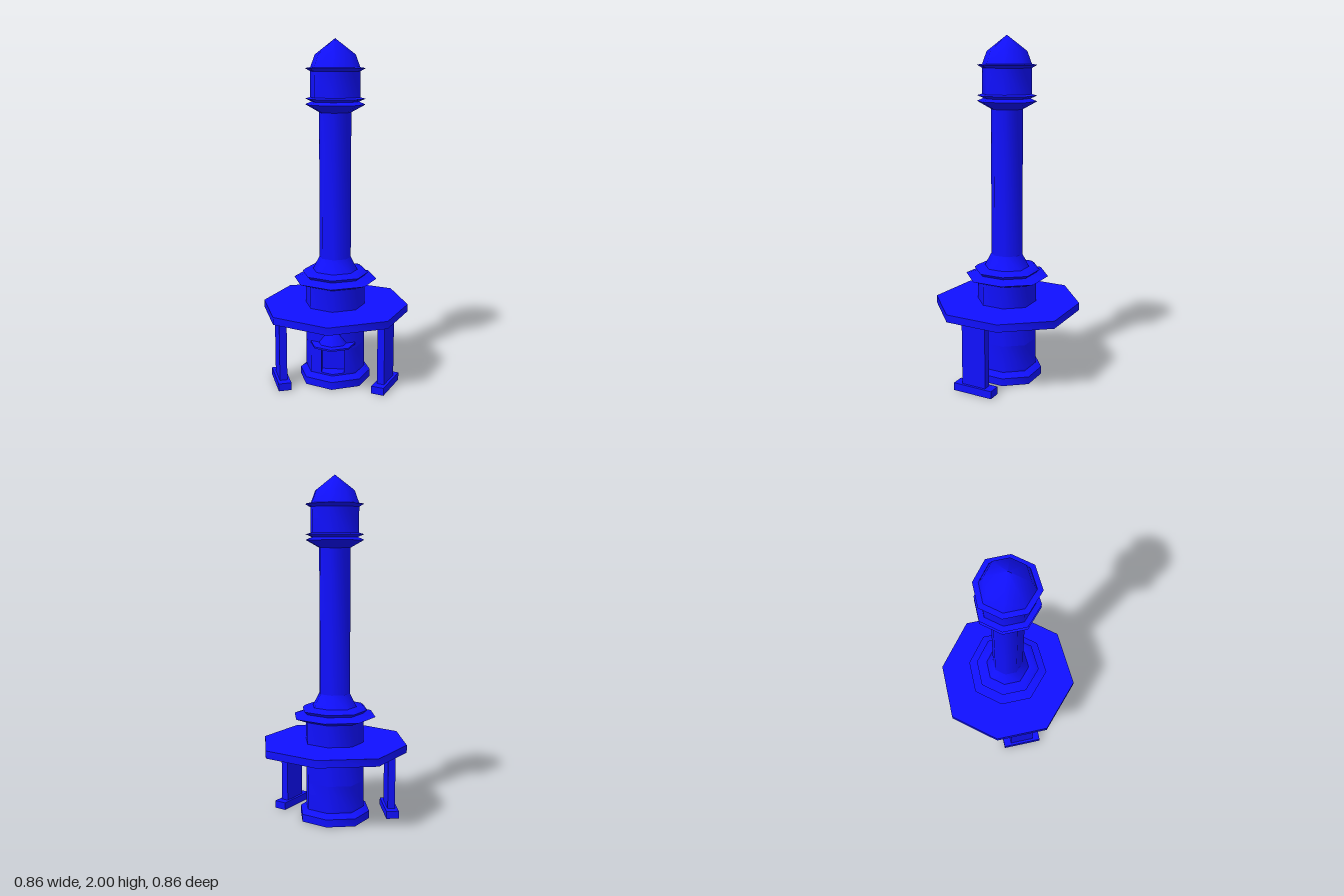
import * as THREE from 'three';
import { toCreasedNormals } from 'three/addons/utils/BufferGeometryUtils.js';

const material = new THREE.MeshStandardMaterial({ color: 0x1010ff, side: THREE.DoubleSide });

function add(group, name, geometry, x = 0, y = 0, z = 0, turn = 0) {
  const mesh = new THREE.Mesh(geometry, material);
  mesh.name = name;
  mesh.position.set(x, y, z);
  mesh.rotation.y = turn;
  group.add(mesh);
  return mesh;
}

// Slightly uneven octagon: wide diagonals, side corners set back a little
function octagonCorner(x, z) {
  const r = Math.hypot(x, z);
  if (Math.abs(x) < 1e-4) return [x, z];
  const diagonal = Math.abs(z) > 0.1 * r;
  return [diagonal ? x * 1.06 : x, z - 0.03 * r];
}

// Eight-sided turned body from [radius, height] pairs, creased at profile edges
function turned(profile) {
  const geo = new THREE.LatheGeometry(profile.map(([r, y]) => new THREE.Vector2(r, y)), 8);
  const p = geo.attributes.position;
  for (let i = 0; i < p.count; i++) {
    const [x, z] = octagonCorner(p.getX(i), p.getZ(i));
    p.setXYZ(i, x, p.getY(i), z);
  }
  return toCreasedNormals(geo, 0.9);
}

// Wall band with a square fireplace recess cut into the front corner
function recessedBand(r, height, halfWidth, backZ) {
  const shape = new THREE.Shape();
  const corners = [];
  for (let i = 1; i < 8; i++) {
    const a = (i * Math.PI) / 4;
    corners.push(octagonCorner(r * Math.sin(a), r * Math.cos(a)));
  }
  const [dx, dz] = corners[0];
  const edgeZ = r + (dz - r) * (halfWidth / dx);
  const points = [[halfWidth, backZ], [halfWidth, edgeZ], ...corners, [-halfWidth, edgeZ], [-halfWidth, backZ]];
  points.forEach(([x, z], i) => (i ? shape.lineTo(x, -z) : shape.moveTo(x, -z)));
  shape.closePath();
  const geo = new THREE.ExtrudeGeometry(shape, { depth: height, bevelEnabled: false });
  geo.rotateX(-Math.PI / 2);
  return toCreasedNormals(geo, 0.9);
}

export function createModel() {
  const model = new THREE.Group();
  model.name = 'tower';

  // Foot and lower wall around the fireplace
  add(model, 'foot', turned([[0, 0], [0.21, 0], [0.21, 0.045], [0.175, 0.07], [0.175, 0.08], [0, 0.08]]));
  add(model, 'fireplaceWall', recessedBand(0.175, 0.15, 0.066, 0.09), 0, 0.08, 0);

  // Upper wall with two cornices and the sloping shoulder
  add(model, 'wall', turned([
    [0, 0.23], [0.175, 0.23], [0.175, 0.59], [0.245, 0.617], [0.175, 0.637],
    [0.195, 0.655], [0.175, 0.67], [0.132, 0.672], [0.092, 0.748], [0, 0.748],
  ]));

  // Flat roof slab
  add(model, 'roof', turned([[0, 0.418], [0.431, 0.418], [0.431, 0.462], [0, 0.462]]));

  // Tall shaft
  add(model, 'shaft', turned([[0.092, 0.745], [0.092, 1.595]]));

  // Lantern with double collar, eave and dome
  add(model, 'lantern', turned([
    [0.092, 1.592], [0.172, 1.636], [0.135, 1.652], [0.172, 1.668],
    [0.142, 1.676], [0.142, 1.82], [0.172, 1.837], [0.142, 1.842],
  ]));
  add(model, 'dome', turned([[0.142, 1.84], [0.115, 1.912], [0, 2]]));

  // Hood over the fireplace
  add(model, 'hoodShelf', turned([[0, 0], [0.13, 0], [0.13, 0.01], [0, 0.01]]), 0, 0.255, 0.13);
  add(model, 'hood', turned([[0.085, 0], [0, 0.14]]), 0, 0.265, 0.13);

  // Two front piers, each parallel to a roof edge
  for (const side of [1, -1]) {
    const pier = new THREE.Group();
    pier.name = side > 0 ? 'leftPier' : 'rightPier';
    add(pier, 'post', new THREE.BoxGeometry(0.044, 0.376, 0.15));
    add(pier, 'postBase', new THREE.BoxGeometry(0.075, 0.045, 0.245), 0, -0.209, 0);
    pier.position.set(side * 0.308, 0.2315, 0.131);
    pier.rotation.y = -side * 0.34;
    model.add(pier);
  }
  return model;
}
